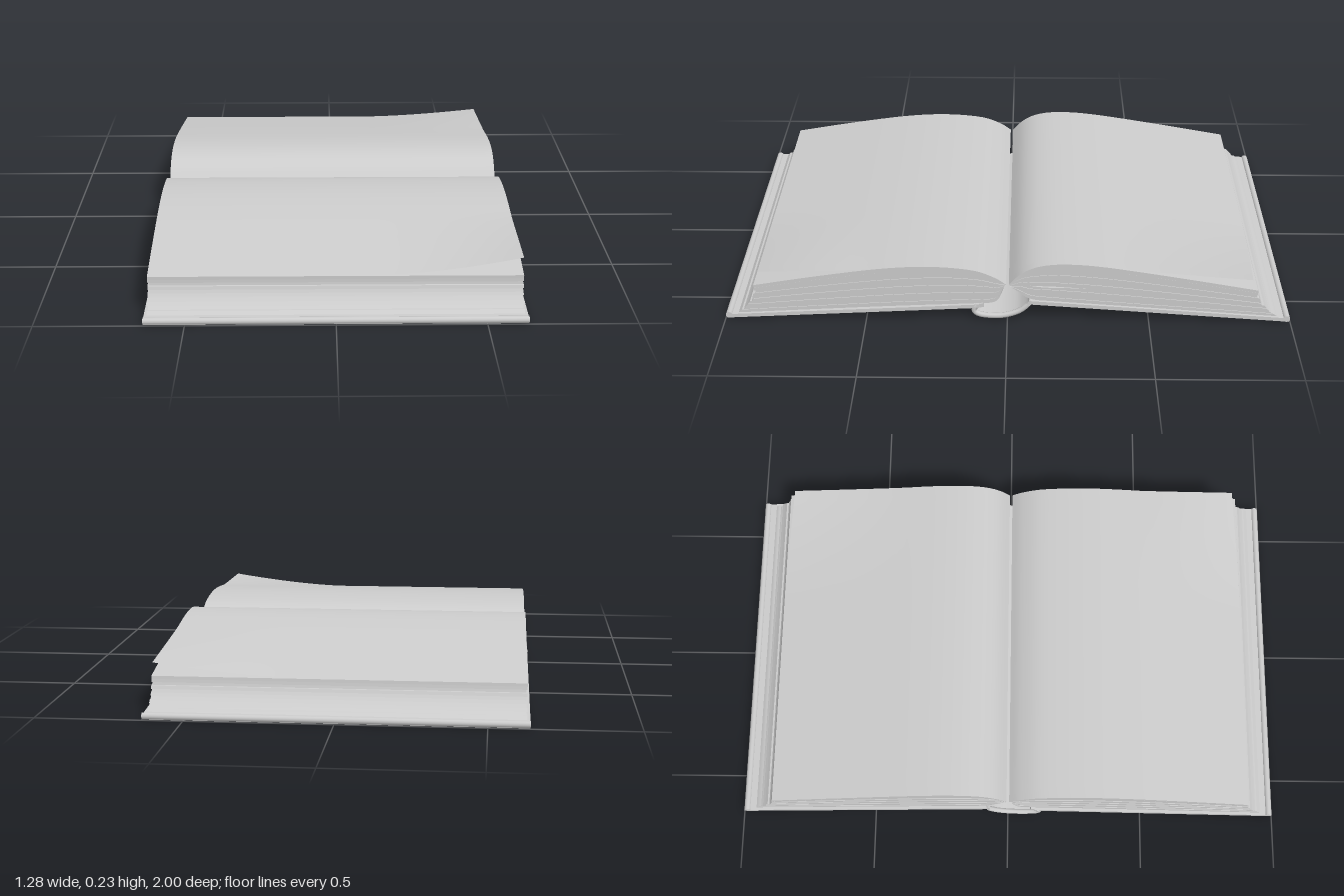
import * as THREE from 'three';
import { toCreasedNormals } from 'three/addons/utils/BufferGeometryUtils.js';

const HALF = 0.628; // half length of a page along the spine

// Smooth curve through [distance from spine, height] points
const curve = (pts, n = 28) =>
  new THREE.SplineCurve(pts.map(([z, y]) => new THREE.Vector2(z, y))).getPoints(n);

// Extrude a z-y outline along x
function slab(outline, halfLength) {
  const geo = new THREE.ExtrudeGeometry(new THREE.Shape(outline), {
    depth: halfLength * 2, bevelEnabled: false,
  });
  geo.translate(0, 0, -halfLength);
  geo.rotateY(-Math.PI / 2);
  return toCreasedNormals(geo, 0.6);
}

// Outline of a strip of even thickness around a centre line
function ribbon(line, thickness) {
  const a = [], b = [];
  line.forEach((p, i) => {
    const d = line[Math.min(i + 1, line.length - 1)].clone().sub(line[Math.max(i - 1, 0)]).normalize();
    const n = new THREE.Vector2(-d.y, d.x).multiplyScalar(thickness / 2);
    a.push(p.clone().add(n));
    b.unshift(p.clone().sub(n));
  });
  return a.concat(b);
}

// One entry for each half; distances are measured outward from the spine
const halves = [
  {
    name: 'front', side: 1, curl: 0.052, curlFrom: 0.5,
    top: [[0.005, 0.145], [0.05, 0.175], [0.13, 0.203], [0.28, 0.215], [0.45, 0.205], [0.68, 0.172], [0.895, 0.135]],
    bottom: [[0.012, 0.135], [0.03, 0.088], [0.06, 0.07], [0.14, 0.066], [0.4, 0.054], [0.7, 0.037], [0.955, 0.022]],
    cover: [[0.1, 0.061], [0.995, 0.013]], gap: -1,
  },
  {
    name: 'back', side: -1, curl: 0.04, curlFrom: 0.42,
    top: [[0.005, 0.145], [0.05, 0.19], [0.11, 0.218], [0.2, 0.228], [0.34, 0.218], [0.6, 0.177], [0.88, 0.128]],
    bottom: [[0.012, 0.135], [0.04, 0.115], [0.08, 0.088], [0.16, 0.077], [0.4, 0.058], [0.7, 0.038], [0.955, 0.022]],
    cover: [[0.075, 0.077], [0.995, 0.013]], gap: 3,
  },
];

export function createModel() {
  const book = new THREE.Group();
  book.name = 'openBook';
  const paper = new THREE.MeshStandardMaterial({ color: 0xcccccc, side: THREE.DoubleSide });
  paper.name = 'pale grey';
  const add = (parent, name, geo) => {
    const mesh = new THREE.Mesh(geo, paper);
    mesh.name = name;
    parent.add(mesh);
    return mesh;
  };

  for (const h of halves) {
    const half = new THREE.Group();
    half.name = h.name + 'Half';
    book.add(half);
    const top = curve(h.top), bottom = curve(h.bottom);
    const place = (pts) => pts.map((p) => new THREE.Vector2(p.x * h.side, p.y));

    // Page block: stacked sheaves, with a hollow and stepped fore edge
    const sheaves = 10;
    const level = (t, inset) => top.map((p, i) => {
      const q = bottom[i].clone().lerp(p, t);
      const edge = Math.max(0, (i / (top.length - 1) - 0.6) / 0.4);
      q.x -= edge * (0.02 * Math.sin(Math.PI * t) + inset);
      return q;
    });
    for (let i = 0; i < sheaves; i++) {
      const inset = [0, 0.006, 0.002][i % 3];
      const low = level(i / sheaves, inset);
      const high = level((i + 1) / sheaves, inset);
      // A slight opening between two sheaves
      if (i === h.gap) high.forEach((p, k) => {
        p.y -= 0.008 * Math.max(0, 1 - Math.abs(k / 28 - 0.45) / 0.2);
      });
      const length = i === sheaves - 1 ? HALF : HALF - 0.003 * (i % 2);
      add(half, 'pageSheaf' + (i + 1), slab(place(low.concat(high.reverse())), length));
    }

    // Loose top page, lifted at its outer left corner
    const page = new THREE.PlaneGeometry(HALF * 2, 1, 28, 28);
    const pos = page.attributes.position;
    for (let i = 0; i < pos.count; i++) {
      const x = pos.getX(i);
      const v = 0.5 - h.side * pos.getY(i);
      const p = top[Math.round(v * 28)];
      const lift = THREE.MathUtils.clamp((x - 0.15) / (HALF - 0.15), 0, 1) ** 1.6
        * THREE.MathUtils.clamp((p.x - h.curlFrom) / (0.89 - h.curlFrom), 0, 1) ** 1.2;
      pos.setXYZ(i, x, p.y + 0.003 + h.curl * lift, h.side * (p.x - 0.02 * lift));
    }
    page.computeVertexNormals();
    add(half, 'loosePage', page);

    // Cover board with a turned lip along its outer edge
    const board = h.cover.map(([z, y]) => new THREE.Vector2(z * h.side, y));
    add(half, 'coverBoard', slab(ribbon(board, 0.014), 0.638));
    const lip = add(half, 'coverLip', new THREE.CylinderGeometry(0.012, 0.012, 1.276, 12));
    lip.rotation.z = Math.PI / 2;
    lip.position.set(0, 0.017, 0.988 * h.side);
  }

  // Rounded spine, hanging below the pages
  const spine = curve([[0.085, 0.064], [0.112, 0.055], [0.115, 0.035], [0.085, 0.021], [0.02, 0.019],
    [-0.035, 0.035], [-0.068, 0.06], [-0.085, 0.082]], 36);
  add(book, 'spine', slab(ribbon(spine, 0.014), 0.635));

  // Head and tail caps of the spine
  const caps = spine.slice(4, 33).map((p) => new THREE.Vector3(0, p.y + 0.002, p.x));
  for (const s of [-1, 1]) {
    const cap = add(book, s > 0 ? 'leftSpineCap' : 'rightSpineCap',
      new THREE.TubeGeometry(new THREE.CatmullRomCurve3(caps), 36, 0.01, 8));
    cap.position.x = s * 0.632;
  }
  return book;
}
